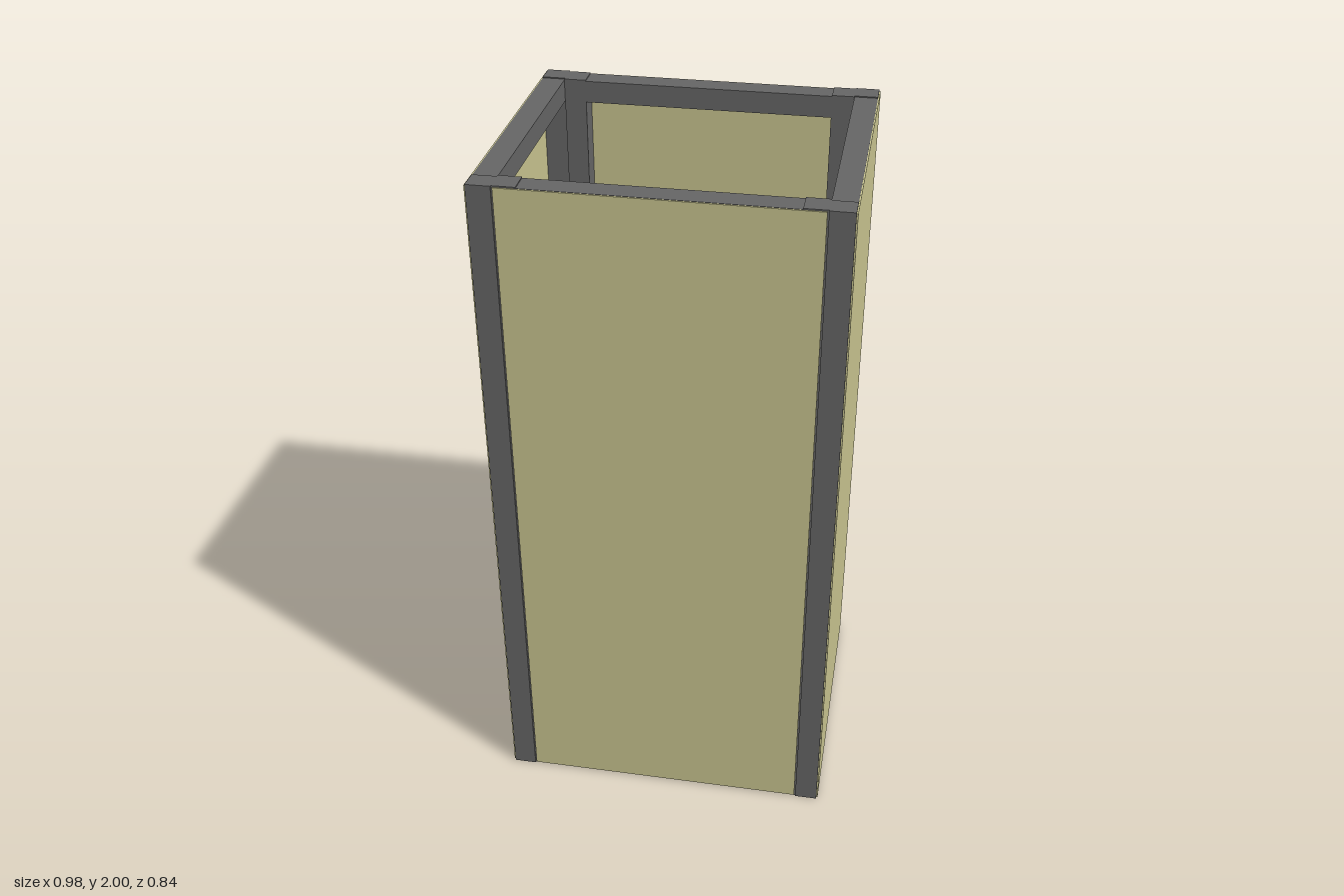
import * as THREE from 'three';

const W = 0.84;      // panel width
const H = 2;         // panel height
const D = 0.07;      // panel thickness
const BAR = 0.063;   // face width of posts and rails
const SHEET = 0.004; // cladding thickness
const LIP = 0.004;   // frame showing around the cladding

const frameMaterial = new THREE.MeshStandardMaterial({ color: 0x666666 });
const sheetMaterial = new THREE.MeshStandardMaterial({ color: 0xc9c590 });

function addBox(parent, name, size, position, material) {
  const mesh = new THREE.Mesh(new THREE.BoxGeometry(...size), material);
  mesh.name = name;
  mesh.position.set(...position);
  parent.add(mesh);
}

// One framed wall, outer face at z = 0, frame reaching inwards to z = -D
function createPanel(name) {
  const panel = new THREE.Group();
  panel.name = name;
  const depth = D - SHEET;
  const z = -SHEET - depth / 2;

  for (const s of [-1, 1]) {
    // Full-height posts at the sides
    addBox(panel, s < 0 ? 'rightPost' : 'leftPost', [BAR, H, depth],
      [s * (W - BAR) / 2, H / 2, z], frameMaterial);
    // Rails between the posts, a hair short of the post ends
    addBox(panel, s < 0 ? 'bottomRail' : 'topRail', [W - 2 * BAR, BAR, depth],
      [0, H / 2 + s * ((H - BAR) / 2 - 0.003), z], frameMaterial);
  }

  // Cladding on the outside
  addBox(panel, 'sheet', [W - 2 * LIP, H - 2 * LIP, SHEET],
    [0, H / 2, -SHEET / 2], sheetMaterial);
  return panel;
}

export function createModel() {
  const model = new THREE.Group();
  model.name = 'panelTower';

  // Side walls overlap the ends of the front and back walls
  ['frontPanel', 'leftPanel', 'backPanel', 'rightPanel'].forEach((name, i) => {
    const panel = createPanel(name);
    const angle = i * Math.PI / 2;
    const reach = i % 2 ? W / 2 + D : W / 2;
    panel.rotation.y = angle;
    panel.position.set(Math.sin(angle) * reach, 0, Math.cos(angle) * reach);
    model.add(panel);
  });
  return model;
}
